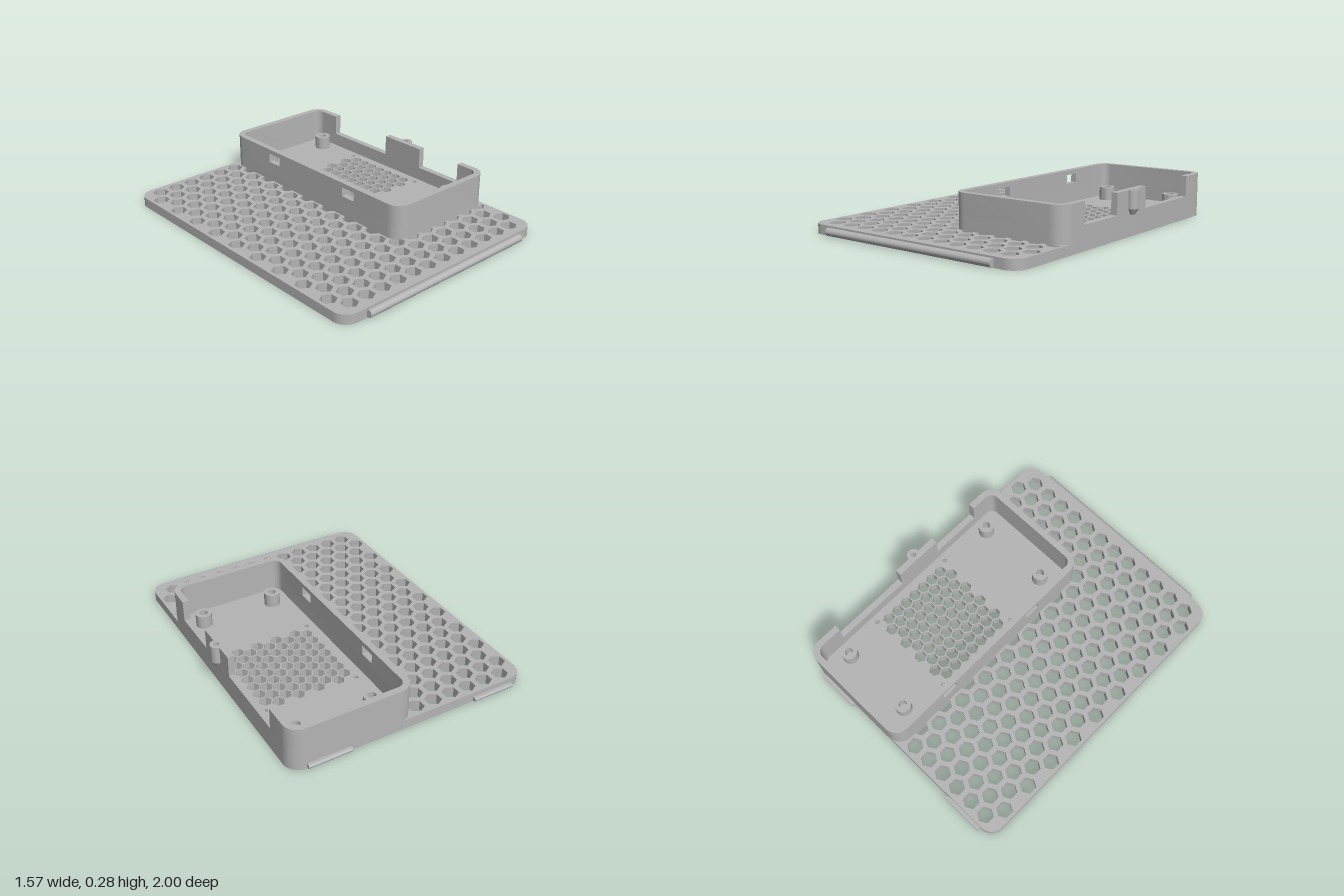
import * as THREE from 'three';
import { toCreasedNormals } from 'three/addons/utils/BufferGeometryUtils.js';

const BASE = 0.06, SILL = 0.145, TOP = 0.275, WALL = 0.04;
const BOX = { x0: -0.025, x1: 0.743, z0: -0.975, z1: 0.585, r: 0.09 };

// Rounded rectangle in plan; shape y is -z
function roundedRect(P, x0, x1, z0, z1, r) {
  const p = new P(), a = -z1, b = -z0, q = Math.PI / 2;
  p.moveTo(x0 + r, a);
  p.lineTo(x1 - r, a); p.absarc(x1 - r, a + r, r, -q, 0, false);
  p.lineTo(x1, b - r); p.absarc(x1 - r, b - r, r, 0, q, false);
  p.lineTo(x0 + r, b); p.absarc(x0 + r, b - r, r, q, 2 * q, false);
  p.lineTo(x0, a + r); p.absarc(x0 + r, a + r, r, 2 * q, 3 * q, false);
  return p;
}

function extrude(shape, depth) {
  return new THREE.ExtrudeGeometry(shape, { depth, bevelEnabled: false, curveSegments: 10 });
}
// Plan shape raised from y0 to y1
const slab = (shape, y0, y1) => extrude(shape, y1 - y0).rotateX(-Math.PI / 2).translate(0, y0, 0);
// Side profile in (z, y) swept from x0 to x1
const sweepX = (shape, x0, x1) => extrude(shape, x1 - x0).rotateY(-Math.PI / 2).translate(x1, 0, 0);

// Hexagonal hole; keep moves corners onto a clipping line
function hexHole(x, z, r, turn, keep = (p) => p) {
  const pts = [];
  for (let i = 0; i < 6; i++) {
    const a = turn + i * Math.PI / 3;
    const [px, pz] = keep([x + r * Math.cos(a), z + r * Math.sin(a)]);
    const v = new THREE.Vector2(px, -pz);
    if (!pts.some((o) => o.distanceTo(v) < 1e-4)) pts.push(v);
  }
  return new THREE.Path(pts);
}

function plateShape() {
  const s = roundedRect(THREE.Shape, -0.79, 0.743, -0.975, 0.967, 0.09);
  // Large honeycomb around the tray
  for (let row = 0; row < 19; row++) {
    const odd = row % 2, z = -0.905 + row * 0.0987;
    const count = row >= 15 ? 12 + odd : 6 + odd;
    for (let i = 0; i < count; i++) {
      const x = (odd ? -0.7275 : -0.669) + i * 0.1174;
      let keep;
      if (row < 15 && odd && i === 6) keep = ([px, pz]) => [Math.min(px, x), pz];
      if (row === 15 && i > 6) keep = ([px, pz]) => [px, Math.max(pz, BOX.z1)];
      s.holes.push(hexHole(x, z, 0.05, Math.PI / 6, keep));
    }
  }
  // Fine fan vent inside the tray
  for (let c = 0; c < 9; c++) {
    const full = c % 2;
    for (let k = 0; k < 7 + full; k++) {
      s.holes.push(hexHole(0.1085 + c * 0.0642, -0.492 + (k + (full ? 0 : 0.5)) * 0.0742, 0.038, 0));
    }
  }
  // Fan screw holes
  for (const x of [0.0715, 0.6585]) for (const z of [-0.523, 0.065]) {
    s.holes.push(new THREE.Path().absarc(x, -z, 0.014, 0, Math.PI * 2, true));
  }
  return s;
}

// U-shaped end of the upper wall, from the cut at zc to the outer face at ze
function endCap(zc, ze) {
  const { x0, x1, r } = BOX, d = Math.sign(ze - zc), ri = r - WALL, q = Math.PI / 2;
  const pts = [];
  const arc = (cx, rad, a0, a1) => {
    for (let i = 0; i <= 10; i++) {
      const a = a0 + (a1 - a0) * i / 10;
      pts.push(new THREE.Vector2(cx + rad * Math.cos(a), -(ze - d * r + d * rad * Math.sin(a))));
    }
  };
  pts.push(new THREE.Vector2(x0, -zc));
  arc(x0 + r, r, 2 * q, q);
  arc(x1 - r, r, q, 0);
  pts.push(new THREE.Vector2(x1, -zc), new THREE.Vector2(x1 - WALL, -zc));
  arc(x1 - r, ri, 0, q);
  arc(x0 + r, ri, q, 2 * q);
  pts.push(new THREE.Vector2(x0 + WALL, -zc));
  return new THREE.Shape(pts);
}

function rect(P, a0, a1, b0, b1) {
  return new P([[a0, b0], [a1, b0], [a1, b1], [a0, b1]].map(([a, b]) => new THREE.Vector2(a, b)));
}

function lathe(points) {
  return new THREE.LatheGeometry(points.map(([r, y]) => new THREE.Vector2(r, y)), 32);
}

export function createModel() {
  const model = new THREE.Group();
  model.name = 'ventedTray';
  const grey = new THREE.MeshStandardMaterial({ color: 0xb4b4b4 });
  grey.name = 'grey';
  const add = (name, geometry, x = 0, z = 0) => {
    const mesh = new THREE.Mesh(toCreasedNormals(geometry, 0.5), grey);
    mesh.name = name;
    mesh.position.set(x, 0, z);
    model.add(mesh);
  };

  add('basePlate', slab(plateShape(), 0, BASE));

  // Lower wall, a closed rounded ring
  const { x0, x1, z0, z1, r } = BOX;
  const ring = roundedRect(THREE.Shape, x0, x1, z0, z1, r);
  ring.holes.push(roundedRect(THREE.Path, x0 + WALL, x1 - WALL, z0 + WALL, z1 - WALL, r - WALL));
  add('lowerWall', slab(ring, BASE, SILL));

  // Upper wall, open on the left side in two places
  add('frontWall', slab(endCap(0.385, z1), SILL, TOP));
  add('backWall', slab(endCap(-0.75, z0), SILL, TOP));
  const panel = rect(THREE.Shape, -0.75, 0.385, SILL, TOP);
  for (const z of [-0.543, 0.16]) panel.holes.push(rect(THREE.Path, z - 0.052, z + 0.052, 0.187, 0.246));
  add('windowWall', sweepX(panel, x0, x0 + WALL));

  // Wall post between the openings, notched for the pin socket
  const post = new THREE.Shape();
  post.moveTo(x1 - WALL, -0.06);
  post.lineTo(x1, -0.06);
  post.lineTo(x1, 0.1 - 0.016);
  post.absarc(x1, 0.1, 0.016, -Math.PI / 2, -Math.PI * 1.5, true);
  post.lineTo(x1, 0.25);
  post.lineTo(x1 - WALL, 0.25);
  add('wallPost', slab(post, SILL, TOP));
  add('pinSocket', lathe([[0, 0.13], [0.019, 0.13], [0.04, 0.165], [0.04, TOP],
    [0.016, TOP], [0.016, 0.18], [0, 0.18]]), x1, -0.1);

  // Screw standoffs
  for (const x of [0.135, 0.61]) for (const z of [-0.79, 0.4]) {
    add('standoff', lathe([[0.05, BASE], [0.05, SILL], [0.025, SILL], [0.025, 0.07], [0, 0.07]]), x, z);
  }

  // Rounded hinge bar on the front edge and snap tabs on the back edge
  const bar = new THREE.Shape().absarc(0.976, 0.027, 0.024, 0, Math.PI * 2, false);
  add('frontBar', sweepX(bar, -0.635, 0.593));
  const tab = new THREE.Shape();
  tab.moveTo(-0.96, 0.009);
  tab.lineTo(-0.96, 0.031);
  tab.lineTo(-0.989, 0.031);
  tab.absarc(-0.989, 0.02, 0.011, Math.PI / 2, Math.PI * 1.5, false);
  for (const [a, b] of [[-0.695, -0.428], [0.38, 0.648]]) add('backTab', sweepX(tab, a, b));

  // Centre the footprint on x
  for (const mesh of model.children) mesh.position.x += 0.002;
  return model;
}
